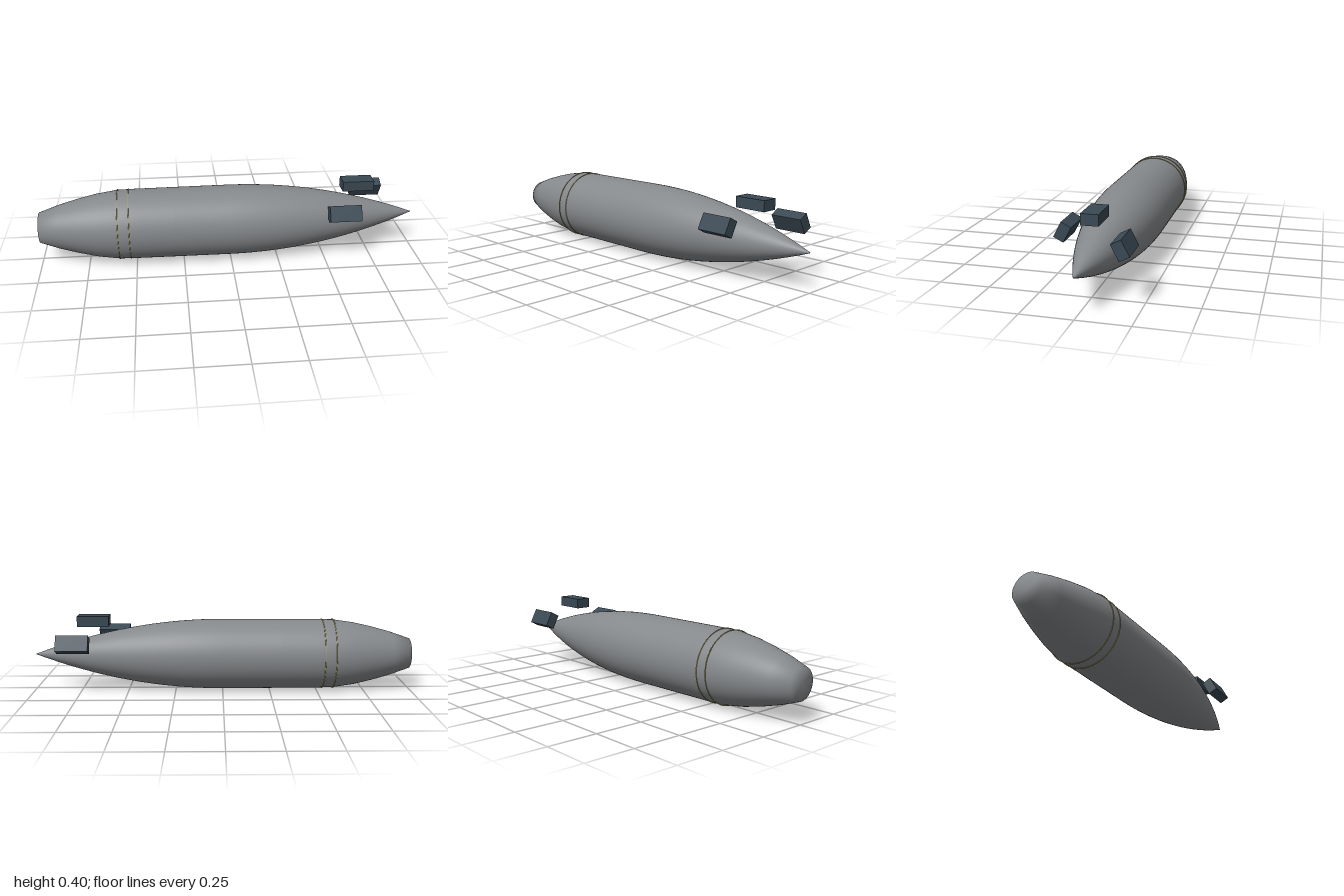
import * as THREE from 'three';

const AXIS_Y = 0.188; // height of the body's long axis

export function createModel() {
  const model = new THREE.Group();
  const hullGrey = new THREE.MeshStandardMaterial({ color: 0x86898c });
  const slate = new THREE.MeshStandardMaterial({ color: 0x3a4954 });
  const brass = new THREE.MeshStandardMaterial({ color: 0xa89a50 });
  hullGrey.name = 'hullGrey';
  slate.name = 'slate';
  brass.name = 'brass';

  const add = (name, geometry, material, x, y, z) => {
    const mesh = new THREE.Mesh(geometry, material);
    mesh.name = name;
    mesh.position.set(x, y, z);
    model.add(mesh);
    return mesh;
  };

  // Body: tapered tail, straight middle and curved nose, turned about x
  const profile = [[0, -1], [0.08, -1], [0.115, -0.9], [0.143, -0.8], [0.166, -0.7],
    [0.182, -0.59], [0.184, -0.5], [0.185, -0.3], [0.186, 0]];
  for (let i = 1; i <= 16; i++) {
    const t = i / 16;
    profile.push([0.186 * (1 - t ** 2.02), t]);
  }
  const body = new THREE.LatheGeometry(profile.map(([r, x]) => new THREE.Vector2(r, x)), 64);
  body.rotateZ(-Math.PI / 2);
  add('body', body, hullGrey, 0, AXIS_Y, 0);

  // Two hairline rings where the tail meets the body
  for (const [name, x] of [['rearRing', -0.588], ['frontRing', -0.53]]) {
    const ring = new THREE.TorusGeometry(0.1845, 0.0022, 6, 64);
    ring.rotateY(Math.PI / 2);
    add(name, ring, brass, x, AXIS_Y, 0);
  }

  // Three blocks staggered along the nose, fanned around the axis
  const blocks = [['leftBlock', 0.59, 1.09], ['topBlock', 0.683, 0], ['rightBlock', 0.773, -1.09]];
  for (const [name, x, angle] of blocks) {
    const block = add(name, new THREE.BoxGeometry(0.166, 0.054, 0.084), slate,
      x, AXIS_Y + 0.182 * Math.cos(angle), 0.182 * Math.sin(angle));
    block.rotation.x = angle;
  }
  return model;
}
